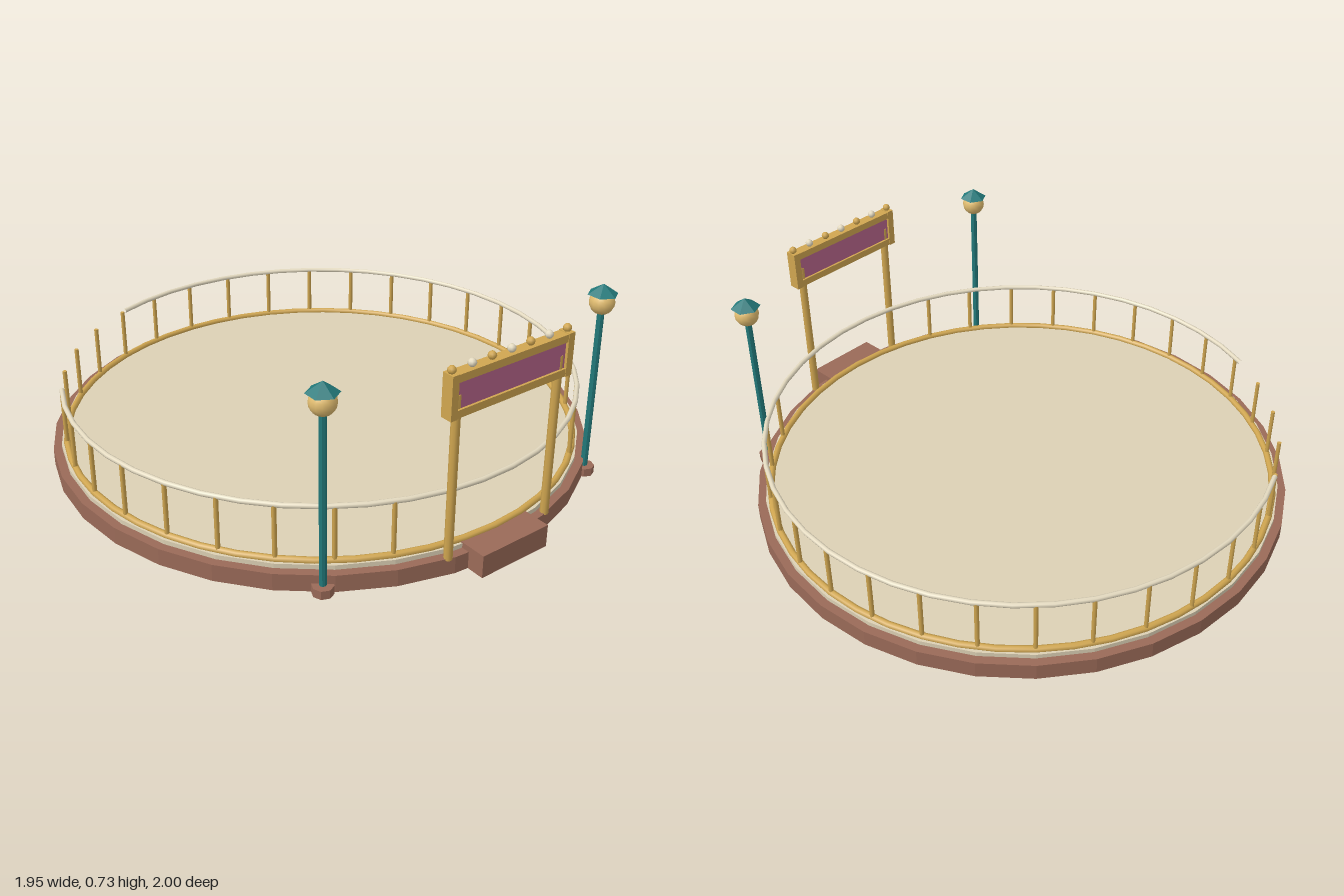
import * as THREE from 'three';

const mat = (color, flatShading = false) => new THREE.MeshStandardMaterial({ color, flatShading });
const MATS = {
  brown: mat(0x9a6a58, true),
  cream: mat(0xdcd0b4, true),
  gold: mat(0xd0a650),
  rail: mat(0xe4dac0),
  teal: mat(0x22797a, true),
  pink: mat(0xb9658c),
  globe: mat(0xe2bd70),
};

const CZ = -0.025;      // centre of the round platform
const RAIL_R = 0.925;
const GAP = 0.38;       // half angle of the entrance opening

function add(parent, name, geometry, material, x = 0, y = 0, z = 0) {
  const mesh = new THREE.Mesh(geometry, MATS[material]);
  mesh.name = name;
  mesh.position.set(x, y, z);
  parent.add(mesh);
  return mesh;
}

// upright cylinder between two heights
function column(parent, name, r, y0, y1, sides, material, x, z) {
  return add(parent, name, new THREE.CylinderGeometry(r, r, y1 - y0, sides), material, x, (y0 + y1) / 2, z);
}

function group(parent, name) {
  const g = new THREE.Group();
  g.name = name;
  parent.add(g);
  return g;
}

export function createModel() {
  const model = new THREE.Group();
  model.name = 'bandstandPlatform';

  // Round platform with deck and front step
  column(model, 'platformBase', 0.975, 0, 0.06, 32, 'brown', 0, CZ);
  column(model, 'deck', 0.945, 0.06, 0.076, 32, 'cream', 0, CZ);
  add(model, 'frontStep', new THREE.BoxGeometry(0.28, 0.08, 0.1), 'brown', 0, 0.04, 0.95);

  // Railing: full lower ring, open top rail and posts
  const railing = group(model, 'railing');
  railing.position.z = CZ;
  const ring = add(railing, 'lowerRing', new THREE.TorusGeometry(RAIL_R, 0.012, 8, 48), 'gold', 0, 0.08, 0);
  ring.rotation.x = Math.PI / 2;
  const arc = new THREE.TorusGeometry(RAIL_R, 0.009, 8, 40, Math.PI * 2 - GAP * 2);
  arc.rotateX(Math.PI / 2).rotateY(-Math.PI / 2 - GAP);
  // turn the arc so that its opening is centred on the front
  arc.rotateY(Math.PI + GAP * 2);
  add(railing, 'topRail', arc, 'rail', 0, 0.275, 0);
  for (const end of [-1, 1]) {
    const a = end * GAP;
    const cap = add(railing, 'railEnd', new THREE.CircleGeometry(0.009, 8), 'rail',
      RAIL_R * Math.sin(a), 0.275, RAIL_R * Math.cos(a));
    cap.rotation.y = a - end * Math.PI / 2;
  }
  for (let i = 3; i <= 30; i++) {
    const a = (i / 32) * Math.PI * 2;
    column(railing, 'railPost', 0.008, 0.076, 0.275, 6, 'gold', RAIL_R * Math.sin(a), RAIL_R * Math.cos(a));
  }

  // Entrance sign with framed panel and a row of bulbs
  const sign = group(model, 'entranceSign');
  sign.position.z = 0.918;
  for (const s of [-1, 1]) {
    column(sign, 'signPost', 0.0145, 0.055, 0.63, 8, 'gold', s * 0.21, 0);
    add(sign, 'frameSide', new THREE.BoxGeometry(0.026, 0.146, 0.043), 'gold', s * 0.236, 0.63, 0);
    add(sign, 'frameBar', new THREE.BoxGeometry(0.49, 0.026, 0.04), 'gold', 0, 0.63 + s * 0.058, 0);
  }
  add(sign, 'signPanel', new THREE.BoxGeometry(0.46, 0.1, 0.024), 'pink', 0, 0.63, 0);
  for (let i = -3; i <= 3; i++) {
    add(sign, 'bulb', new THREE.SphereGeometry(0.014, 8, 6), i % 2 ? 'gold' : 'rail', i * 0.0785, 0.713, 0);
  }

  // Pair of lamp posts
  for (const s of [-1, 1]) {
    const lamp = group(model, s > 0 ? 'leftLamp' : 'rightLamp');
    lamp.position.set(s * 0.574, 0, 0.765);
    column(lamp, 'lampFoot', 0.036, 0, 0.03, 8, 'brown', 0, 0);
    column(lamp, 'lampPole', 0.012, 0.03, 0.625, 8, 'teal', 0, 0);
    add(lamp, 'lampGlobe', new THREE.SphereGeometry(0.043, 14, 10), 'globe', 0, 0.655, 0);
    add(lamp, 'lampCap', new THREE.ConeGeometry(0.052, 0.036, 6), 'teal', 0, 0.702, 0);
  }
  return model;
}
